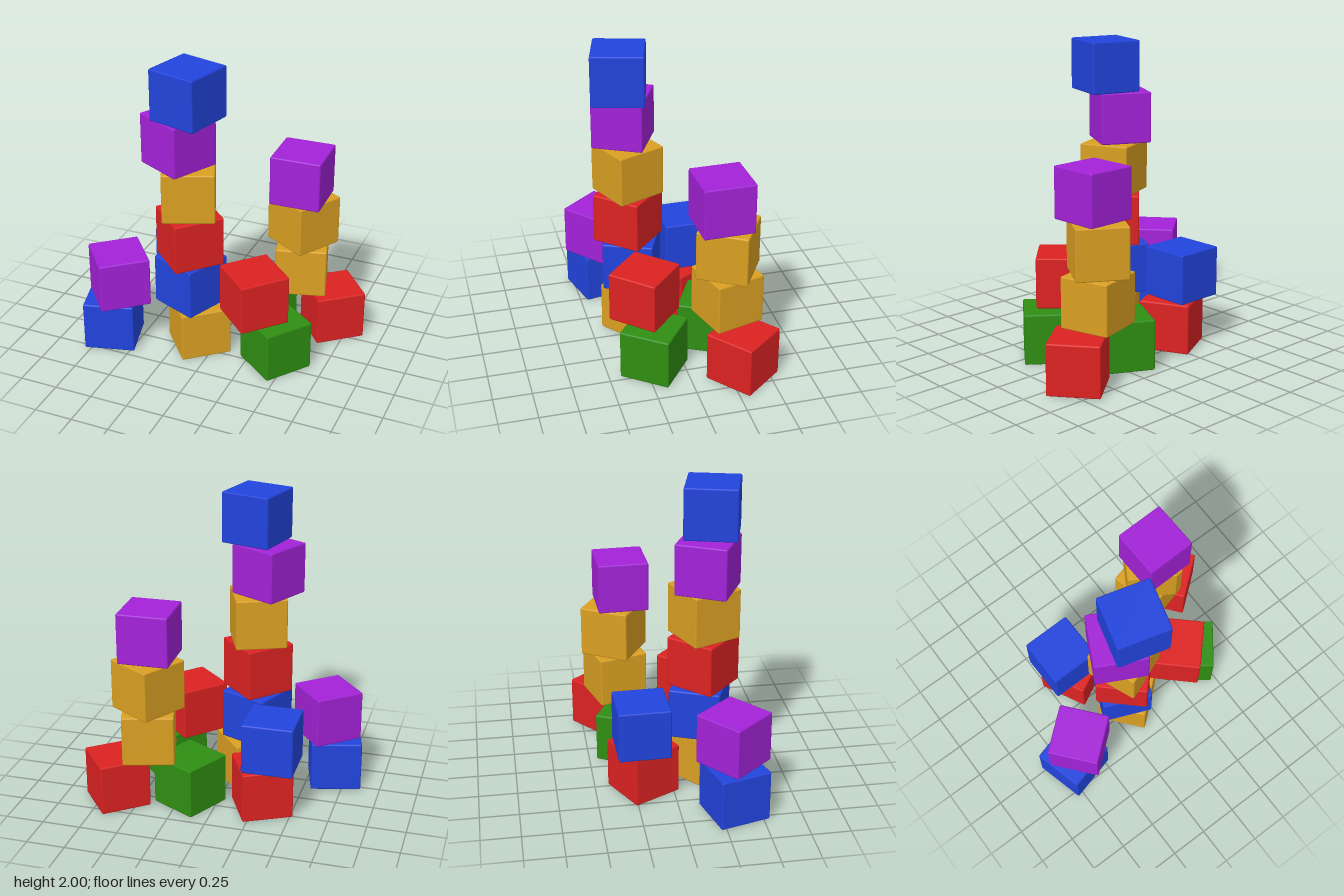
import * as THREE from 'three';
import { RoundedBoxGeometry } from 'three/addons/geometries/RoundedBoxGeometry.js';

const SIZE = 1 / 3;

// colour, centre x, layer, centre z, turn in degrees (clockwise from above)
const STACKS = {
  tallTower: [
    ['orange', -0.11, 0, 0.19, 50],
    ['blue', -0.163, 1, 0.2, 22.5],
    ['red', -0.158, 2, 0.222, 43.5],
    ['orange', -0.158, 3, 0.222, 67.5],
    ['purple', -0.22, 4, 0.233, 27],
    ['blue', -0.131, 5, 0.275, 15],
  ],
  bridgedTower: [
    ['green', 0.177, 0, -0.227, 27.5],
    ['red', 0.641, 0, -0.332, 51],
    ['orange', 0.433, 1, -0.282, 74],
    ['orange', 0.433, 2, -0.283, 31],
    ['purple', 0.431, 3, -0.236, -1.7],
  ],
  leftStack: [
    ['blue', -0.672, 0, 0.335, 75],
    ['purple', -0.615, 1, 0.335, 50],
  ],
  rightStack: [
    ['green', 0.429, 0, 0.195, 37],
    ['red', 0.287, 1, 0.222, 43],
  ],
  backStack: [
    ['red', -0.298, 0, -0.189, 62.7],
    ['blue', -0.366, 1, -0.207, -1],
  ],
};

export function createModel() {
  const materials = {};
  const colours = { red: 0xdd2222, orange: 0xdaa022, blue: 0x2244dd, purple: 0xa322d8, green: 0x2f8f12 };
  for (const [name, color] of Object.entries(colours)) {
    materials[name] = new THREE.MeshStandardMaterial({ color });
    materials[name].name = name;
  }

  // one block with slightly softened edges, shared by all
  const block = new RoundedBoxGeometry(SIZE, SIZE, SIZE, 1, 0.01);

  const model = new THREE.Group();
  model.name = 'toyBlocks';
  for (const [stackName, blocks] of Object.entries(STACKS)) {
    const stack = new THREE.Group();
    stack.name = stackName;
    for (const [colour, x, layer, z, turn] of blocks) {
      const mesh = new THREE.Mesh(block, materials[colour]);
      mesh.name = `${colour}Block`;
      mesh.position.set(x, (layer + 0.5) * SIZE, z);
      mesh.rotation.y = -THREE.MathUtils.degToRad(turn);
      stack.add(mesh);
    }
    model.add(stack);
  }
  return model;
}
